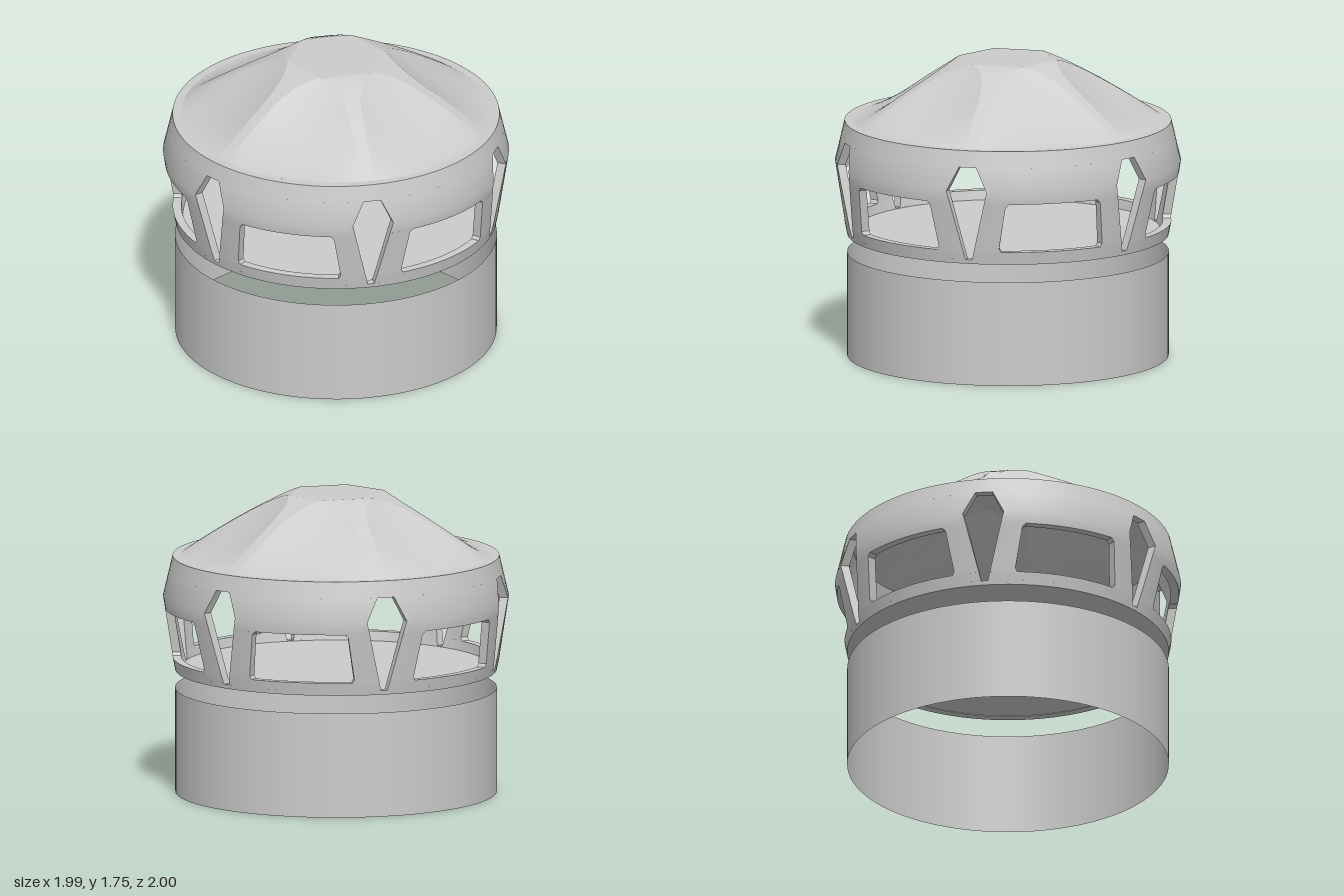
import * as THREE from 'three';
import { mergeGeometries, toCreasedNormals } from 'three/addons/utils/BufferGeometryUtils.js';
import { ParametricGeometry } from 'three/addons/geometries/ParametricGeometry.js';

const SIDES = 6;
const DEG = Math.PI / 180;
const lerp = THREE.MathUtils.lerp;

const TOP = 1.385, PEAK = 1.75, RIM = 0.895;

// Outer radius of the band at a height
const PROFILE = [[0.715, 0.93], [0.79, 0.945], [1.15, 1.0], [TOP, 0.945]];
function bandRadius(y) {
  for (let i = 1; i < PROFILE.length; i++) {
    const [y0, r0] = PROFILE[i - 1], [y1, r1] = PROFILE[i];
    if (y <= y1 + 1e-6) return lerp(r0, r1, (y - y0) / (y1 - y0));
  }
  return PROFILE[PROFILE.length - 1][1];
}

// Band rows: y from/to, half angle of the kite opening from/to, half angle of the window from/to
const ROWS = [
  [0.715, 0.74, 0, 0, 0, 0],
  [0.74, 0.79, 1.2, 1.9, 0, 0],
  [0.79, 0.81, 1.9, 2.2, 18.4, 19.1],
  [0.81, 1.06, 2.2, 5.65, 19.1, 16.8],
  [1.06, 1.08, 5.65, 5.9, 16.8, 15.6],
  [1.08, 1.15, 5.9, 6.9, 0, 0],
  [1.15, 1.29, 6.9, 3.0, 0, 0],
  [1.29, TOP, 0, 0, 0, 0],
];

// One curved block of the band between a window centre and a kite centre
function bandBlock([y0, y1, k0, k1, w0, w1], centre, mirror) {
  const geo = new THREE.BoxGeometry(1, 1, 1, 10, 1, 1);
  const p = geo.attributes.position;
  for (let i = 0; i < p.count; i++) {
    const v = p.getY(i) + 0.5;
    const s = mirror ? 0.5 - p.getX(i) : p.getX(i) + 0.5;
    const y = lerp(y0, y1, v);
    const local = lerp(lerp(w0, w1, v), 30 - lerp(k0, k1, v), s);
    const a = (centre + (mirror ? -local : local)) * DEG;
    const r = bandRadius(y) - (p.getZ(i) > 0 ? 0 : 0.05);
    p.setXYZ(i, Math.sin(a) * r, y, Math.cos(a) * r);
  }
  geo.deleteAttribute('uv');
  return geo;
}

// Rib edge at t (0 at the flat top, 1 at the rim): distance out, half width, height
function ribEdge(t) {
  return {
    d: lerp(0.251, RIM, t),
    w: 0.035 + 0.11 * Math.pow(1 - t, 6),
    y: PEAK - (PEAK - TOP) * Math.pow(t, 1.2),
  };
}

// Dished roof panel, pointed at the top, hung between two ribs
function panelPoint(u, v, target) {
  const t = 1 - v, s = 2 * u - 1;
  const e = ribEdge(t);
  const a = s * (30 * DEG - Math.atan2(e.w, e.d));
  const r = lerp(lerp(0.29, RIM, t), Math.hypot(e.d, e.w), s * s);
  const y = lerp(TOP + (PEAK - TOP) * Math.pow(1 - t, 1.43), e.y, s * s);
  target.set(Math.sin(a) * r, y, Math.cos(a) * r);
}

// Convex rib, flat across, flaring into the flat top
function ribPoint(u, v, target) {
  const e = ribEdge(1 - v);
  target.set((2 * u - 1) * e.w, e.y, e.d);
}

function surface(fn, nu, nv) {
  const geo = new ParametricGeometry(fn, nu, nv);
  geo.computeVertexNormals();
  return geo;
}

export function createModel() {
  const group = new THREE.Group();
  const solid = new THREE.MeshStandardMaterial({ color: 0xcccccc });
  const sheet = new THREE.MeshStandardMaterial({ color: 0xcccccc, side: THREE.DoubleSide });
  const add = (name, geo, mat, parent = group) => {
    const mesh = new THREE.Mesh(geo, mat);
    mesh.name = name;
    parent.add(mesh);
    return mesh;
  };

  // Separate open drum below
  add('baseDrum', new THREE.CylinderGeometry(0.93, 0.93, 0.61, 96, 1, true), sheet).position.y = 0.305;

  // Band with six windows and six kite openings
  const blocks = [];
  for (let k = 0; k < SIDES; k++)
    for (const mirror of [false, true])
      for (const row of ROWS) blocks.push(bandBlock(row, k * 60, mirror));
  add('windowBand', toCreasedNormals(mergeGeometries(blocks), 35 * DEG), solid);

  // Floor closing the bottom of the band
  add('floor', new THREE.CylinderGeometry(0.9, 0.9, 0.017, 96), solid).position.y = 0.7265;

  // Roof of panels and ribs with a flat six-sided top
  const roof = new THREE.Group();
  roof.name = 'roof';
  group.add(roof);
  const panel = surface(panelPoint, 24, 24);
  const rib = surface(ribPoint, 4, 24);
  for (let k = 0; k < SIDES; k++) {
    add('roofPanel', panel, sheet, roof).rotation.y = k * 60 * DEG;
    add('roofRib', rib, sheet, roof).rotation.y = (k * 60 + 30) * DEG;
  }
  const cap = add('roofTop', new THREE.CircleGeometry(0.29, SIDES, Math.PI / 2), sheet, roof);
  cap.rotation.x = -Math.PI / 2;
  cap.position.y = PEAK;

  return group;
}
